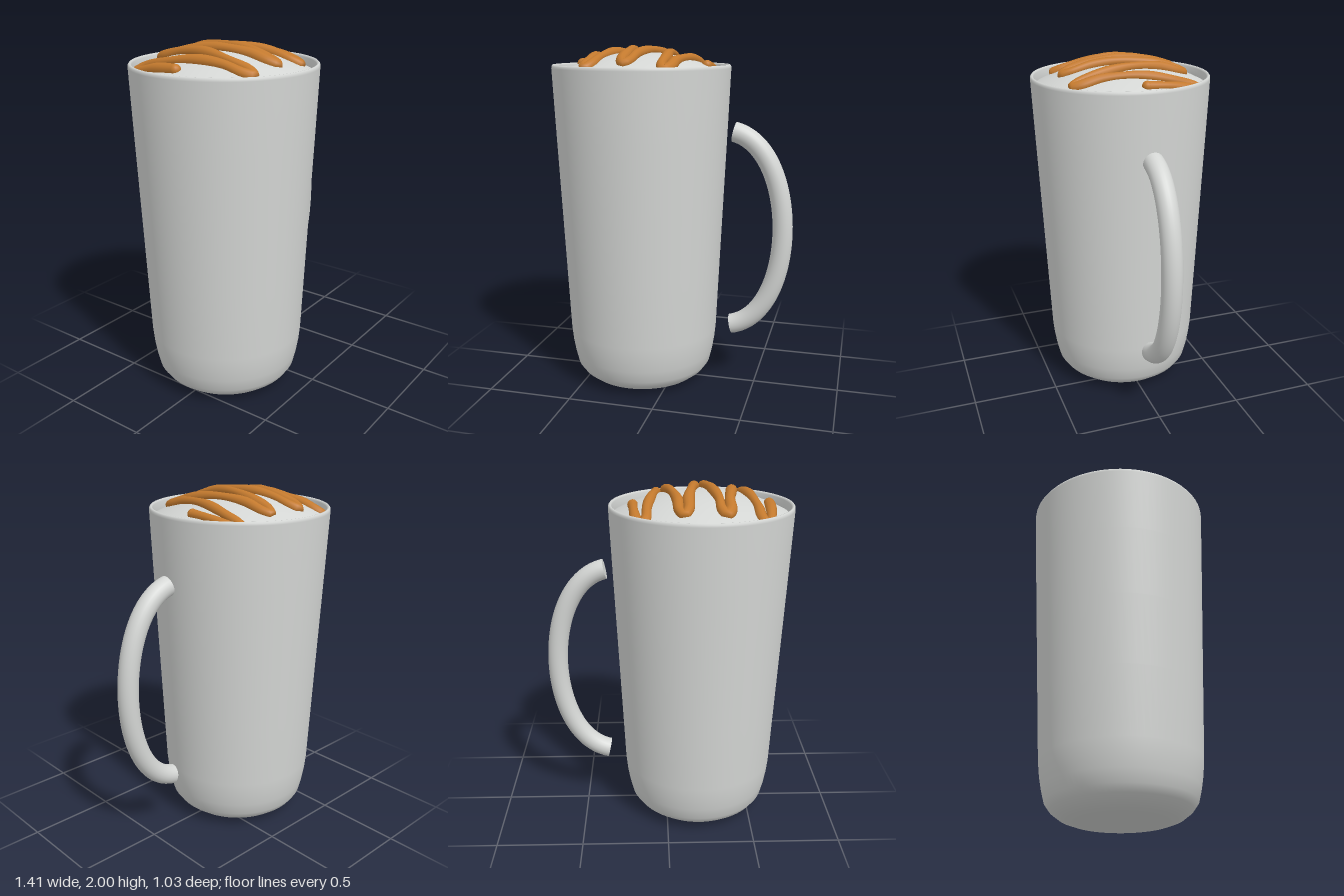
import * as THREE from 'three';

const CX = -0.193; // mug axis
const v2 = (p) => new THREE.Vector2(p[0], p[1]);
const v3 = (x, y, z) => new THREE.Vector3(x, y, z);

function material(name, color) {
  const m = new THREE.MeshStandardMaterial({ color });
  m.name = name;
  return m;
}

function part(name, geometry, mat, parent) {
  const mesh = new THREE.Mesh(geometry, mat);
  mesh.name = name;
  parent.add(mesh);
  return mesh;
}

export function createModel() {
  const group = new THREE.Group();
  group.name = 'mug';
  const ceramic = material('white ceramic', 0xd4d6d4);
  const caramel = material('caramel', 0xc47a2e);

  // Mug body: tapered wall, rounded foot and lip, hollow inside
  const profile = [
    [0, 0], [0.23, 0], [0.285, 0.006], [0.335, 0.025], [0.38, 0.06], [0.408, 0.1],
    [0.425, 0.17], [0.437, 0.24], [0.445, 0.32], [0.462, 0.7], [0.48, 1.1],
    [0.498, 1.5], [0.514, 1.87], [0.513, 1.882], [0.507, 1.89], [0.499, 1.889],
    [0.493, 1.88], [0.488, 1.84], [0.47, 1.4], [0.42, 0.3], [0.36, 0.1], [0, 0.06],
  ].map(v2);
  part('body', new THREE.LatheGeometry(profile, 80), ceramic, group).position.x = CX;

  // Domed foam
  const foam = [];
  for (let i = 0; i <= 16; i++) {
    const r = 0.489 * (1 - i / 16);
    foam.push(new THREE.Vector2(r, 1.96 - 0.52 * r * r));
  }
  part('foam', new THREE.LatheGeometry(foam, 80), ceramic, group).position.x = CX;

  // Curved handle with flat ends
  const handle = new THREE.Group();
  handle.name = 'handle';
  group.add(handle);
  const arc = new THREE.CubicBezierCurve3(
    v3(0.352, 1.518, 0), v3(0.742, 1.43, 0), v3(0.742, 0.448, 0), v3(0.352, 0.36, 0));
  part('handleBar', new THREE.TubeGeometry(arc, 64, 0.058, 24), ceramic, handle);
  [0, 1].forEach((t) => {
    const cap = part('handleEnd', new THREE.CircleGeometry(0.058, 24), ceramic, handle);
    const out = arc.getTangentAt(t).multiplyScalar(t ? 1 : -1);
    cap.position.copy(arc.getPointAt(t));
    cap.quaternion.setFromUnitVectors(v3(0, 0, 1), out);
  });

  // Caramel drizzle: zigzag laid over the dome
  const onDome = (x, z) => v3(x, 1.97 - 0.58 * ((x - CX) ** 2 + z * z), z);
  const turns = [-0.51, -0.408, -0.302, -0.192, -0.084, 0.028, 0.135];
  const path = [onDome(-0.563, -0.025), onDome(-0.552, -0.17)];
  turns.forEach((x, i) => {
    const s = i % 2 ? 1 : -1;
    path.push(onDome(x - 0.022, s * 0.3), onDome(x, s * 0.342), onDome(x + 0.022, s * 0.3));
    if (i < turns.length - 1) {
      const next = turns[i + 1];
      for (const k of [0.5, 0, -0.5]) {
        const f = 0.5 - k * 0.8;
        path.push(onDome(x + 0.022 + (next - x - 0.044) * f, s * 0.36 * k));
      }
    }
  });
  path.push(onDome(0.175, -0.17), onDome(0.185, -0.025));
  const curve = new THREE.CatmullRomCurve3(path, false, 'centripetal');
  curve.arcLengthDivisions = 1200;

  const steps = 420, sides = 12;
  const radiusAt = (t) => 0.029 + 0.003 * Math.sin(t * 95) + 0.002 * Math.sin(t * 41 + 1);
  const tube = new THREE.TubeGeometry(curve, steps, 1, sides);
  const pos = tube.attributes.position, v = new THREE.Vector3();
  for (let i = 0; i <= steps; i++) {
    const c = curve.getPointAt(i / steps);
    for (let j = 0; j <= sides; j++) {
      const n = i * (sides + 1) + j;
      v.fromBufferAttribute(pos, n).sub(c).multiplyScalar(radiusAt(i / steps)).add(c);
      pos.setXYZ(n, v.x, v.y, v.z);
    }
  }
  const drizzle = new THREE.Group();
  drizzle.name = 'drizzle';
  group.add(drizzle);
  part('drizzleStrand', tube, caramel, drizzle);
  [0, 1].forEach((t) => {
    part('drizzleTip', new THREE.SphereGeometry(radiusAt(t), 16, 12), caramel, drizzle)
      .position.copy(curve.getPointAt(t));
  });

  return group;
}
